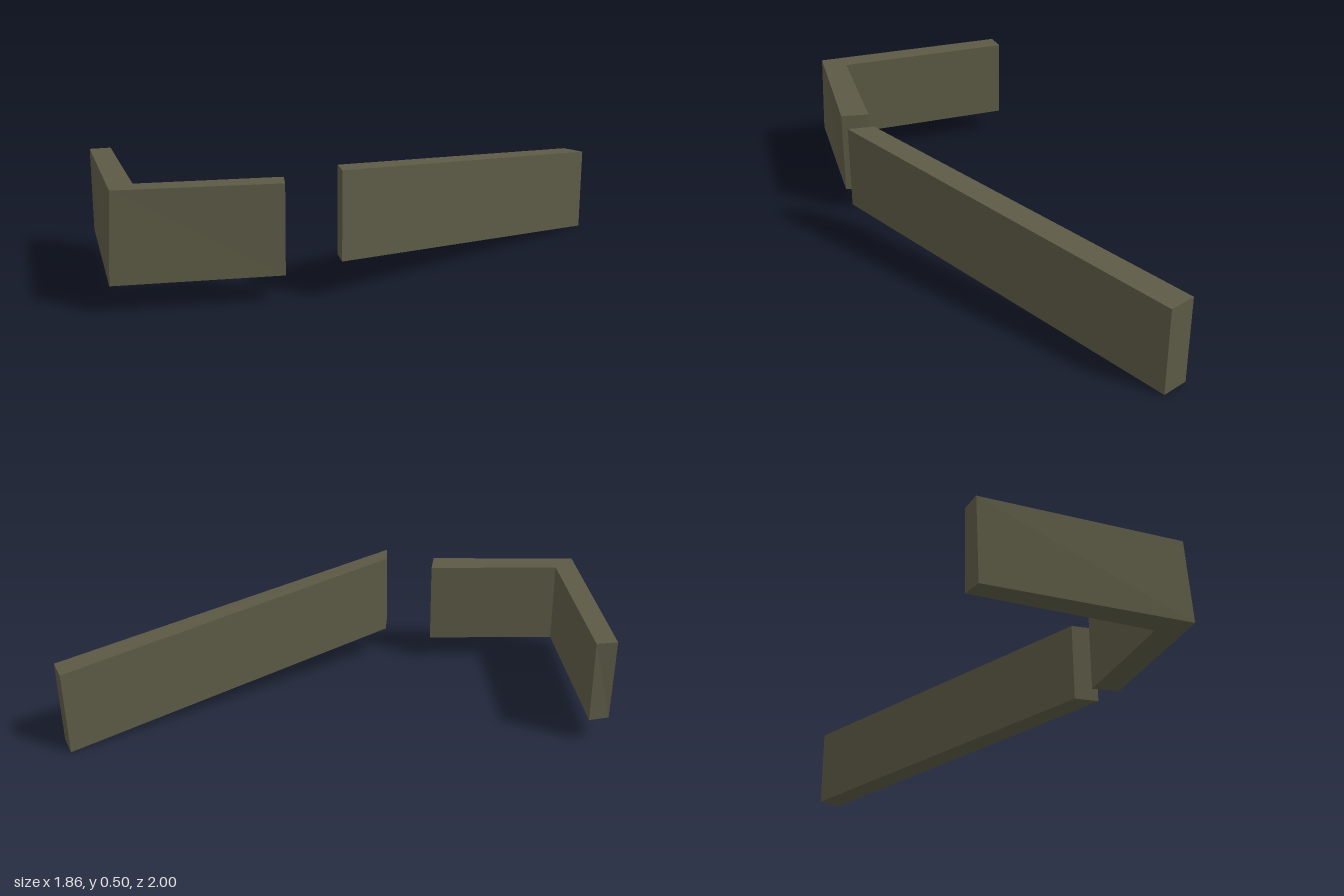
import * as THREE from 'three';

const olive = new THREE.MeshStandardMaterial({ color: 0x5c5a45 });
olive.name = 'olive drab';

// Sweeps a wall through stations, each listing four corners:
// outer top, outer bottom, inner bottom, inner top.
function wall(name, stations) {
  const positions = [];
  const quad = (a, b, c, d) => positions.push(...a, ...b, ...c, ...a, ...c, ...d);
  for (let i = 0; i < stations.length - 1; i++) {
    const s = stations[i], t = stations[i + 1];
    for (let j = 0; j < 4; j++) {
      const k = (j + 1) % 4;
      quad(s[j], s[k], t[k], t[j]);
    }
  }
  quad(...[...stations[0]].reverse());
  quad(...stations[stations.length - 1]);

  const geometry = new THREE.BufferGeometry();
  geometry.setAttribute('position', new THREE.Float32BufferAttribute(positions, 3));
  geometry.computeVertexNormals();
  const mesh = new THREE.Mesh(geometry, olive);
  mesh.name = name;
  return mesh;
}

// Upright station from the outer and inner plan points [x, z]
const upright = (outer, inner, bottom, top) => [
  [outer[0], top, outer[1]],
  [outer[0], bottom, outer[1]],
  [inner[0], bottom, inner[1]],
  [inner[0], top, inner[1]],
];

export function createModel() {
  const group = new THREE.Group();
  group.name = 'wallSections';

  // Bent wall, its outer corner leaning slightly inward at the top
  const corner = upright([-0.41, 1.0], [-0.39, 0.85], 0.103, 0.455);
  corner[0] = [-0.405, 0.455, 0.983];
  const leftEnd = upright([-0.922, 0.325], [-0.865, 0.26], 0.103, 0.453);
  leftEnd[0] = [-0.93, 0.453, 0.32];
  group.add(wall('cornerWall', [
    leftEnd,
    corner,
    upright([0.123, 0.63], [0.07, 0.527], 0.103, 0.455),
  ]));

  // Long straight wall sloping down toward the back
  group.add(wall('slopingWall', [
    upright([0.302, 0.512], [0.246, 0.42], 0.145, 0.495),
    upright([0.926, -0.945], [0.83, -1.0], 0, 0.355),
  ]));

  return group;
}
